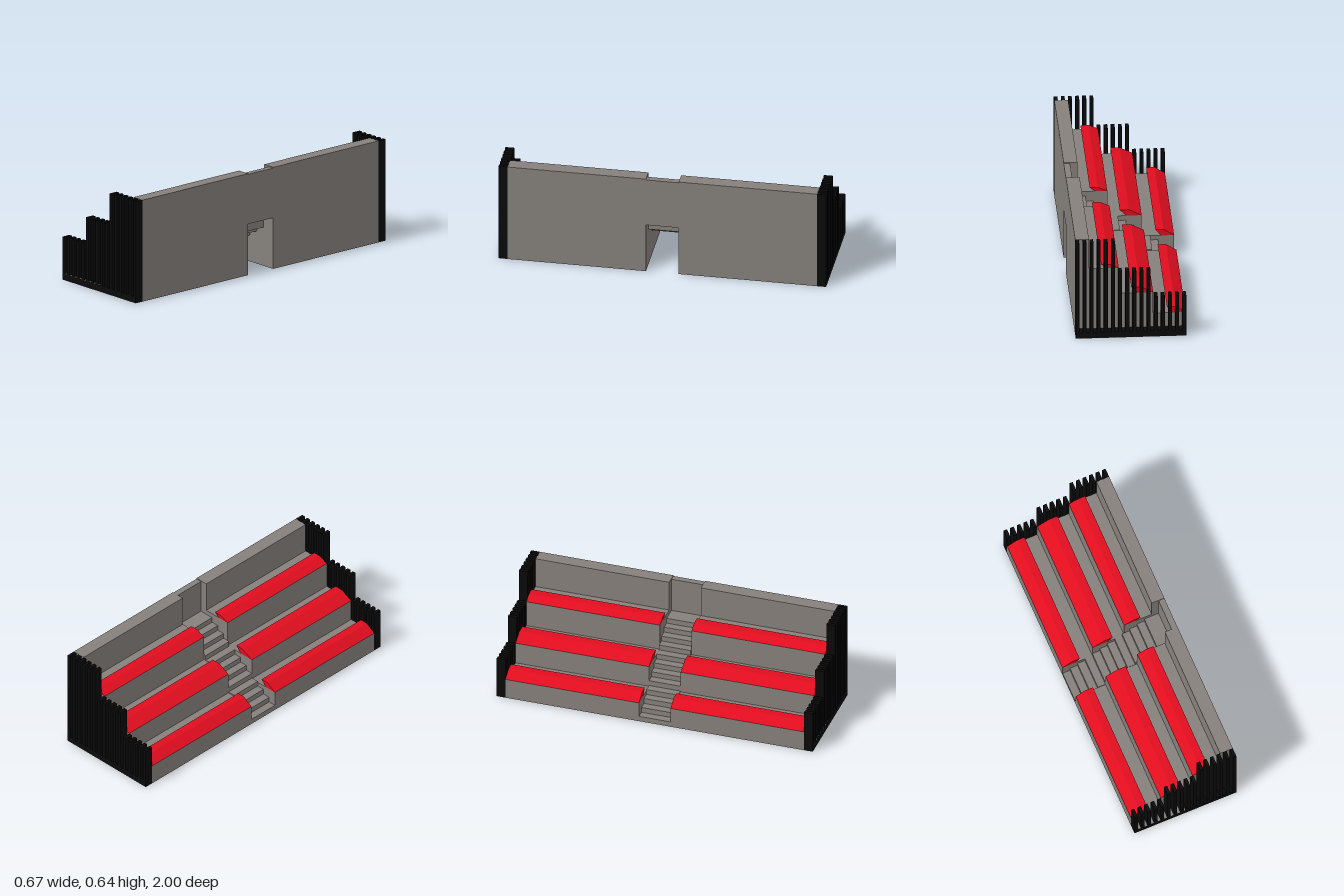
import * as THREE from 'three';

const mat = (color) => new THREE.MeshStandardMaterial({ color, roughness: 0.9, flatShading: true });

export function createModel() {
  const group = new THREE.Group();
  const concrete = mat(0x85807b), red = mat(0xe00d1e), black = mat(0x0a0a0a);
  const X = 0.333, AISLE = 0.1, END = 0.945;

  const add = (name, geometry, material) => {
    const mesh = new THREE.Mesh(geometry, material);
    mesh.name = name;
    group.add(mesh);
    return mesh;
  };
  // Side profile (x, y) extruded from z0 to z1
  const prism = (name, points, z0, z1, material) => {
    const shape = new THREE.Shape(points.map(([x, y]) => new THREE.Vector2(x, y)));
    const geometry = new THREE.ExtrudeGeometry(shape, { depth: z1 - z0, bevelEnabled: false });
    return add(name, geometry.translate(0, 0, z0), material);
  };
  // Box given by its limits
  const box = (name, x0, x1, y0, y1, z0, z1, material) => {
    const geometry = new THREE.BoxGeometry(x1 - x0, y1 - y0, z1 - z0);
    return add(name, geometry.translate((x0 + x1) / 2, (y0 + y1) / 2, (z0 + z1) / 2), material);
  };

  // Three terraces and the rear wall
  const terraces = [
    [-X, 0], [X, 0], [X, 0.637], [0.25, 0.637], [0.25, 0.44], [0.07, 0.44],
    [0.07, 0.27], [-0.137, 0.27], [-0.137, 0.13], [-X, 0.13],
  ];
  // Slanted seat rows: front x, terrace y, crest x, back x, foot x, height
  const seats = [
    [-X, 0.13, -0.27, -0.22, -0.255, 0.04],
    [-0.137, 0.27, -0.06, -0.005, -0.045, 0.039],
    [0.07, 0.44, 0.127, 0.176, 0.14, 0.025],
  ];

  for (const side of [-1, 1]) {
    const span = (a, b) => (side > 0 ? [a, b] : [-b, -a]);
    const [z0, z1] = span(AISLE, END);
    prism('terraceBlock', terraces, z0, z1, concrete);
    for (const [x, y, crest, back, foot, h] of seats) {
      prism('seatRow', [[x, y], [foot, y], [back, y + h], [crest, y + h]], z0, z1, red);
    }

    // End fence: sill and a stepped row of upright bars
    const [e0, e1] = span(END, 1);
    box('fenceFooting', -X, X, 0, 0.002, e0, e1, concrete);
    box('fenceSill', -X, X, 0.002, 0.039, e0, e1, black);
    const bars = 16, width = 0.0215, pitch = (2 * X - width) / (bars - 1);
    for (let i = 0; i < bars; i++) {
      const x = -X + i * pitch;
      const top = i < 5 ? 0.27 : i < 10 ? 0.44 : 0.637;
      box('fenceBar', x, x + width, 0.039, top, e0, e1, black);
    }
  }
  // Pale ledge between the lower bars of the front fence
  box('fenceLedge', -X + 0.001, 0, 0.038, 0.0405, END, 0.999, concrete);

  // Aisle: stairs, top landing, lintel over the rear doorway, stepped soffit
  const aisle = [[-X, 0]];
  const steps = 12, run = (0.25 + X) / steps, rise = 0.41 / steps;
  for (let i = 0; i < steps; i++) {
    aisle.push([-X + i * run, (i + 1) * rise], [-X + (i + 1) * run, (i + 1) * rise]);
  }
  aisle.push([0.295, 0.41], [0.295, 0.632], [X, 0.632], [X, 0.32], [0.245, 0.32]);
  const soffit = [0.241, 0.204, 0.166, 0.134, 0.107, 0.083, 0.06, 0.03, 0];
  soffit.forEach((y, i) => {
    const x = 0.245 - i * 0.06;
    aisle.push([x, y]);
    if (y > 0) aisle.push([x - 0.06, y]);
  });
  prism('aisleStairs', aisle, -AISLE, AISLE, concrete);

  return group;
}
